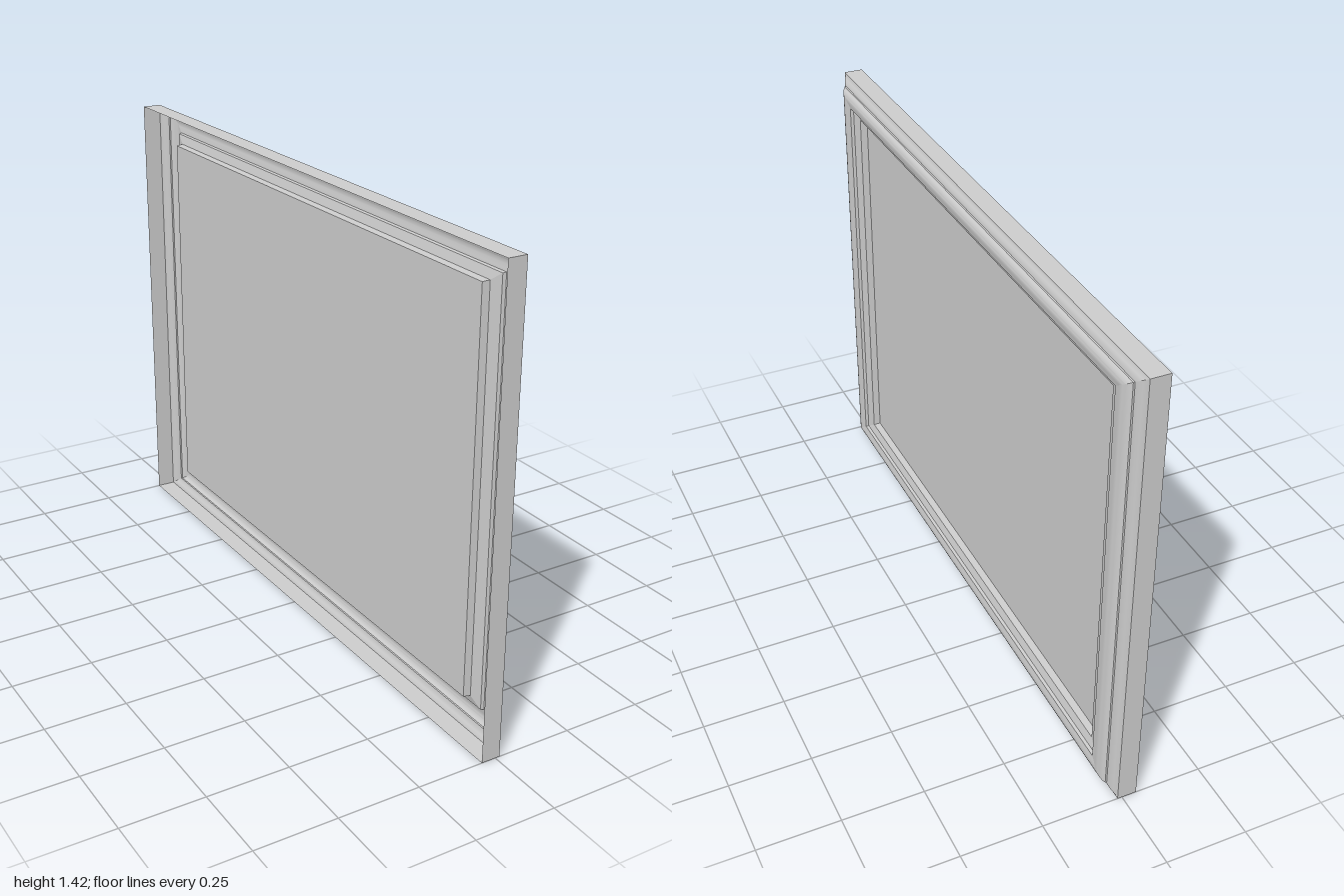
import * as THREE from 'three';
import { toCreasedNormals } from 'three/addons/utils/BufferGeometryUtils.js';

// Moulding section from the open back rim to the panel: [scale of the outline, x]
const PROFILE = [
  [1, -0.045], [1, 0.014], [0.993, 0.015], [0.982, 0.02], [0.972, 0.025], [0.957, 0.027],
  [0.957, 0.032], [0.95, 0.038], [0.94, 0.043], [0.93, 0.045], [0.915, 0.044], [0.9, 0.041],
  [0.89, 0.04], [0.888, 0.03], [0.85, 0.022], [0.847, 0],
];
const HALF_HEIGHT = 0.71;
// Corners in order, seen from +x: [z, y]
const CORNERS = [[1, -1], [-1, -1], [-1, 1], [1, 1]];

function ringPoint([scale, x], corner) {
  const [z, y] = CORNERS[corner % 4];
  return [x, HALF_HEIGHT * (1 + y * scale), z * scale];
}

// One mitred length of moulding between two neighbouring corners
function railGeometry(side) {
  const positions = [];
  for (let i = 0; i < PROFILE.length - 1; i++) {
    const a = ringPoint(PROFILE[i], side);
    const b = ringPoint(PROFILE[i], side + 1);
    const c = ringPoint(PROFILE[i + 1], side + 1);
    const d = ringPoint(PROFILE[i + 1], side);
    positions.push(...a, ...b, ...c, ...a, ...c, ...d);
  }
  const geometry = new THREE.BufferGeometry();
  geometry.setAttribute('position', new THREE.Float32BufferAttribute(positions, 3));
  geometry.computeVertexNormals();
  return toCreasedNormals(geometry, 0.6);
}

export function createModel() {
  const group = new THREE.Group();
  group.name = 'framedPanel';
  const material = new THREE.MeshStandardMaterial({ color: 0xcccccc, side: THREE.DoubleSide });

  // Four rails of the hollow frame
  ['bottomRail', 'backRail', 'topRail', 'frontRail'].forEach((name, side) => {
    const rail = new THREE.Mesh(railGeometry(side), material);
    rail.name = name;
    group.add(rail);
  });

  // Flat picture panel, recessed behind the moulding
  const [scale, x] = PROFILE[PROFILE.length - 1];
  const panel = new THREE.Mesh(new THREE.PlaneGeometry(2 * scale, 2 * HALF_HEIGHT * scale), material);
  panel.name = 'panel';
  panel.rotation.y = Math.PI / 2;
  panel.position.set(x, HALF_HEIGHT, 0);
  group.add(panel);

  return group;
}
